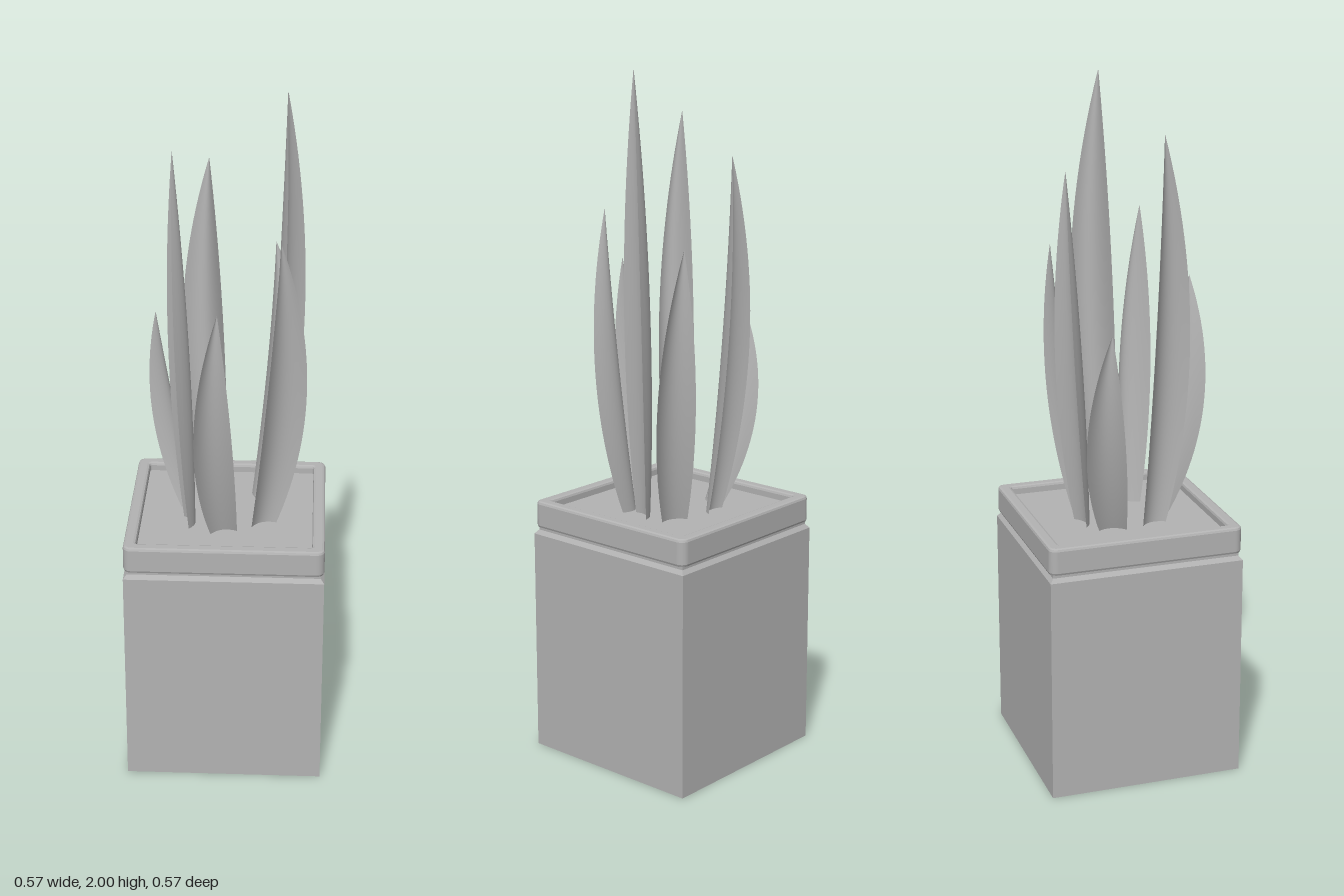
import * as THREE from 'three';

const grey = new THREE.MeshStandardMaterial({ color: 0xb2b2b2 });
grey.name = 'plain grey';

// height, plan (x, z) of the two widest edge points, the tip and the base spine
const LEAVES = [
  { h: 2.0, a: [0.16, 0.04], b: [0.215, -0.07], tip: [0.16, 0], base: [0.108, -0.005] },
  { h: 1.86, a: [-0.165, 0.065], b: [-0.14, 0.17], tip: [-0.145, 0.09], base: [-0.092, 0.07] },
  { h: 1.76, a: [-0.025, -0.19], b: [-0.14, -0.17], tip: [-0.06, -0.165], base: [-0.04, -0.098] },
  { h: 1.61, a: [0.12, 0.145], b: [0.225, 0.095], tip: [0.15, 0.12], base: [0.095, 0.058] },
  { h: 1.52, a: [0.21, -0.135], b: [0.11, -0.18], tip: [0.13, -0.155], base: [0.09, -0.073] },
  { h: 1.44, a: [0.015, 0.21], b: [-0.083, 0.24], tip: [-0.02, 0.21], base: [-0.012, 0.105], flip: true },
  { h: 1.33, a: [-0.205, -0.15], b: [-0.225, -0.05], tip: [-0.21, -0.08], base: [-0.1, -0.045] },
];
const BASE_Y = 0.725, MID = 0.55;

// quadratic through values at the base, widest point and tip
function blend(v, p0, p1, p2) {
  return p0 * (v - MID) * (v - 1) / MID
    + p1 * v * (v - 1) / (MID * (MID - 1))
    + p2 * v * (v - MID) / (1 - MID);
}

// one curved side of a leaf: a channel section swept from base to tip
function leafSheet(leaf, fold, inward) {
  const rows = 28, cols = 12, pos = [], index = [];
  const [a, b] = leaf.flip ? [leaf.b, leaf.a] : [leaf.a, leaf.b];
  const len = Math.hypot(b[0] - a[0], b[1] - a[1]);
  const u = [(b[0] - a[0]) / len, (b[1] - a[1]) / len];
  const out = [-u[1], u[0]];
  for (let i = 0; i <= rows; i++) {
    const v = 0.997 * i / rows;
    const depth = fold * blend(v, 0.025, 0.048, 0);
    const edge = (wide, side) => [0, 1].map((k) =>
      blend(v, leaf.base[k] + 0.025 * out[k] + 0.038 * side * u[k], wide[k], leaf.tip[k]));
    const ea = edge(a, -1), eb = edge(b, 1);
    for (let j = 0; j <= cols; j++) {
      const s = j / cols, d = depth * 4 * s * (1 - s);
      pos.push(
        ea[0] + (eb[0] - ea[0]) * s - out[0] * d,
        BASE_Y + (leaf.h - BASE_Y) * v / 0.997,
        ea[1] + (eb[1] - ea[1]) * s - out[1] * d);
      if (i < rows && j < cols) {
        const p = i * (cols + 1) + j, q = p + cols + 1;
        if (inward) index.push(p, q + 1, p + 1, p, q, q + 1);
        else index.push(p, p + 1, q + 1, p, q + 1, q);
      }
    }
  }
  const geo = new THREE.BufferGeometry();
  geo.setAttribute('position', new THREE.Float32BufferAttribute(pos, 3));
  geo.setIndex(index);
  geo.computeVertexNormals();
  return geo;
}

// rounded square outline
function roundedSquare(path, h, r) {
  path.moveTo(h, -h + r);
  [[1, 1], [-1, 1], [-1, -1], [1, -1]].forEach(([x, y], k) => {
    path.lineTo(k % 2 ? x * (h - r) : x * h, k % 2 ? y * h : y * (h - r));
    path.absarc(x * (h - r), y * (h - r), r, k * Math.PI / 2, (k + 1) * Math.PI / 2, false);
  });
  return path;
}

export function createModel() {
  const group = new THREE.Group();
  const add = (name, geo, y = 0, parent = group) => {
    const mesh = new THREE.Mesh(geo, grey);
    mesh.name = name;
    mesh.position.y = y;
    parent.add(mesh);
    return mesh;
  };

  // square pot with a chamfered shoulder and a recessed neck
  add('potBody', new THREE.BoxGeometry(0.57, 0.66, 0.57), 0.33);
  const shoulder = new THREE.CylinderGeometry(0.275 * Math.SQRT2, 0.285 * Math.SQRT2, 0.012, 4, 1).toNonIndexed();
  shoulder.computeVertexNormals();
  add('potShoulder', shoulder.rotateY(Math.PI / 4), 0.666);
  add('potNeck', new THREE.BoxGeometry(0.55, 0.03, 0.55), 0.675);

  // bevelled rim around the soil
  const outline = roundedSquare(new THREE.Shape(), 0.277, 0.016);
  outline.holes.push(roundedSquare(new THREE.Path(), 0.257, 0.014));
  const rim = new THREE.ExtrudeGeometry(outline, {
    depth: 0.064, bevelSize: 0.008, bevelThickness: 0.008, bevelSegments: 2, curveSegments: 6,
  });
  add('potRim', rim.rotateX(-Math.PI / 2), 0.688);
  add('soil', new THREE.BoxGeometry(0.51, 0.06, 0.51), 0.705);

  // upright pointed leaves, folded towards the middle
  LEAVES.forEach((leaf, i) => {
    const g = new THREE.Group();
    g.name = `leaf${i + 1}`;
    add('leafInnerSide', leafSheet(leaf, 1, true), 0, g);
    add('leafOuterSide', leafSheet(leaf, 0.65, false), 0, g);
    group.add(g);
  });
  return group;
}
